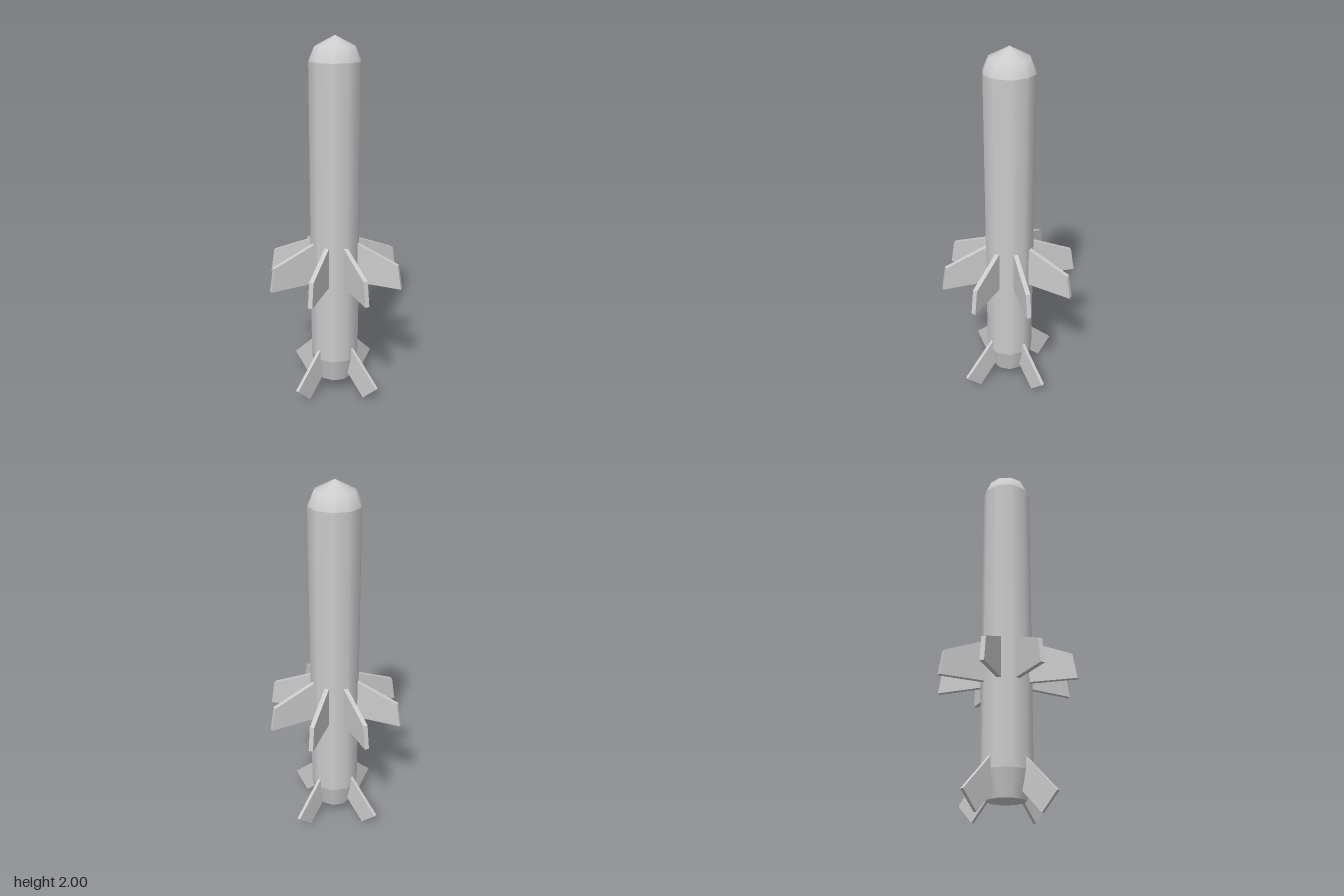
import * as THREE from 'three';

const SIDES = 10;
const material = new THREE.MeshStandardMaterial({ color: 0xcccccc });

function addMesh(parent, name, geometry) {
  const mesh = new THREE.Mesh(geometry, material);
  mesh.name = name;
  parent.add(mesh);
  return mesh;
}

// Surface of revolution from [radius, y] points, listed bottom to top
function lathe(points) {
  return new THREE.LatheGeometry(points.map(([r, y]) => new THREE.Vector2(r, y)), SIDES);
}

// Flat fin from a [radius, y] outline, centred on its thickness
function finGeometry(outline, thickness) {
  const shape = new THREE.Shape(outline.map(([r, y]) => new THREE.Vector2(r, y)));
  const geometry = new THREE.ExtrudeGeometry(shape, { depth: thickness, bevelEnabled: false });
  return geometry.translate(0, 0, -thickness / 2);
}

// Ring of identical fins around the vertical axis
function addFinRing(parent, name, geometry, count, startAngle) {
  const ring = new THREE.Group();
  ring.name = name + 's';
  for (let i = 0; i < count; i++) {
    addMesh(ring, name, geometry).rotation.y = startAngle + (i / count) * Math.PI * 2;
  }
  parent.add(ring);
}

export function createModel() {
  const model = new THREE.Group();
  model.name = 'missile';

  // Rounded nose, straight tube and tapered, closed tail
  addMesh(model, 'nose', lathe([[0.136, 1.875], [0.106, 1.946], [0, 2]]));
  addMesh(model, 'bodyTube', lathe([[0.136, 0.22], [0.136, 1.875]]));
  const tail = addMesh(model, 'tailCone', new THREE.CylinderGeometry(0.136, 0.102, 0.14, SIDES));
  tail.position.y = 0.15;

  // Eight swept wings at mid-body
  const wing = finGeometry([[0.1, 0.682], [0.384, 0.675], [0.362, 0.81], [0.125, 0.911], [0.1, 0.911]], 0.024);
  addFinRing(model, 'middleFin', wing, 8, Math.PI / 8);

  // Four tail fins slanting down and out
  const tailFin = finGeometry([[0.08, 0.143], [0.223, 0], [0.316, 0.094], [0.1, 0.31]], 0.018);
  addFinRing(model, 'tailFin', tailFin, 4, 0);

  return model;
}
